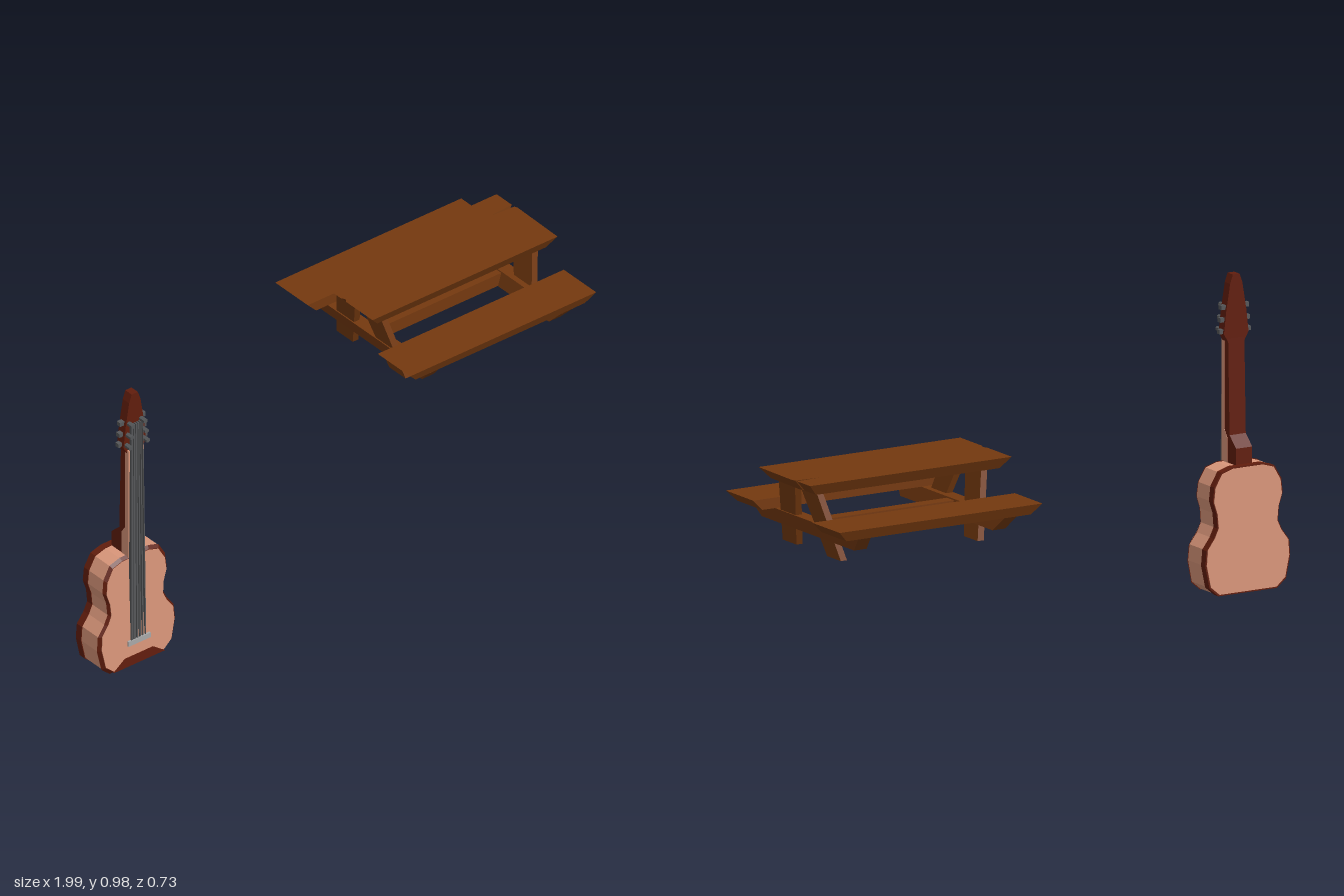
import * as THREE from 'three';

const mat = (name, color) => Object.assign(new THREE.MeshStandardMaterial({ color, flatShading: true }), { name });

export function createModel() {
  const root = new THREE.Group();
  const wood = mat('table wood', 0x74390f);
  const tan = mat('pale wood', 0xd9967a);
  const red = mat('dark red wood', 0x611d0d);
  const steel = mat('dark steel', 0x555759);
  const silver = mat('bridge grey', 0xa8a8a8);

  const add = (parent, name, geo, material) => {
    const m = new THREE.Mesh(geo, material);
    m.name = name;
    parent.add(m);
    return m;
  };
  const extrude = (pts, depth) => new THREE.ExtrudeGeometry(
    new THREE.Shape(pts.map(p => new THREE.Vector2(p[0], p[1]))), { depth, bevelEnabled: false });
  // Move every vertex of a geometry by a rule
  const warp = (geo, rule) => {
    const p = geo.attributes.position, v = new THREE.Vector3();
    for (let i = 0; i < p.count; i++) {
      v.fromBufferAttribute(p, i);
      rule(v);
      p.setXYZ(i, v.x, v.y, v.z);
    }
    geo.computeVertexNormals();
    return geo;
  };
  const box = (x0, x1, y0, y1, z0, z1) =>
    new THREE.BoxGeometry(x1 - x0, y1 - y0, z1 - z0).translate((x0 + x1) / 2, (y0 + y1) / 2, (z0 + z1) / 2);
  // Side profile given as [z, y], extruded along x around x = 0
  const sideProfile = (pts, width) =>
    extrude(pts.map(([z, y]) => [-z, y]), width).rotateY(Math.PI / 2).translate(-width / 2, 0, 0);

  // ---------- Picnic table ----------
  const table = new THREE.Group();
  table.name = 'picnicTable';
  table.position.x = 0.632;
  root.add(table);
  const L = 0.363;

  // Plank from an [x, z] outline whose underside is drawn in toward pivotZ
  const plank = (name, pts, y0, y1, pivotZ, sz) => {
    const g = extrude(pts.map(([x, z]) => [x, -z]), y1 - y0).rotateX(-Math.PI / 2).translate(0, y0, 0);
    add(table, name, warp(g, v => {
      if (v.y < y0 + 0.001) {
        v.x *= 0.91;
        v.z = pivotZ + (v.z - pivotZ) * sz;
      }
    }), wood);
  };
  // Table top with a crack on one end and a chip on the other
  plank('tableTop', [[-L, 0.108], [L - 0.004, 0.108], [L, -0.09], [L - 0.004, -0.101], [L - 0.09, -0.107],
    [L - 0.004, -0.113], [L - 0.004, -0.187], [-L, -0.187], [-L, -0.045], [-L + 0.008, -0.032], [-L, -0.02]],
  0.62, 0.655, -0.037, 0.88);
  plank('frontBench', [[-L, 0.29], [L, 0.29], [L, 0.133], [-L, 0.133]], 0.512, 0.545, 0.133, 0.91);
  plank('backBench', [[-L, -0.205], [L, -0.205], [L, -0.363], [-L, -0.363]], 0.512, 0.545, -0.205, 0.91);

  // End frames: splayed legs leaning inward, plus a cross beam
  for (const s of [-1, 1]) {
    const lean = v => { v.x += s * (0.245 + (v.y - 0.41) * 0.24); };
    add(table, 'frontLeg', warp(sideProfile(
      [[0.135, 0.41], [0.056, 0.41], [-0.016, 0.62], [0.078, 0.62]], 0.022), lean), wood);
    add(table, 'backLeg', warp(sideProfile(
      [[-0.12, 0.41], [-0.198, 0.41], [-0.138, 0.62], [-0.046, 0.62]], 0.022), lean), wood);
    add(table, 'crossBeam', warp(sideProfile(
      [[0.232, 0.465], [-0.297, 0.465], [-0.344, 0.512], [0.276, 0.512]], 0.045),
    v => { v.x += s * (0.248 + (v.y - 0.465) * 0.3); }), wood);
  }
  add(table, 'stretcher', box(-0.245, 0.245, 0.466, 0.508, -0.055, -0.015), wood);

  // ---------- Guitar ----------
  const guitar = new THREE.Group();
  guitar.name = 'guitar';
  guitar.position.x = -0.845;
  root.add(guitar);

  // Half outline of the body, mirrored to a closed loop
  const half = [[0.105, 0.003], [0.137, 0.03], [0.152, 0.1], [0.148, 0.15], [0.122, 0.185], [0.108, 0.215],
    [0.112, 0.26], [0.125, 0.3], [0.12, 0.345], [0.095, 0.388], [0.055, 0.4]];
  const outline = [...half, ...half.map(([x, y]) => [-x, y]).reverse()];
  // The front slopes: the body is deeper at the bottom
  const slope = v => { v.z += (0.2 - v.y) * 0.04 * (v.z - 0.242) / 0.11; };
  const layer = (name, z0, z1, s0, s1, material) => {
    const mid = (z0 + z1) / 2;
    add(guitar, name, warp(extrude(outline, z1 - z0).translate(0, 0, z0), v => {
      const s = v.z < mid ? s0 : s1;
      v.x *= s;
      v.y = 0.2 + (v.y - 0.2) * (1 + (s - 1) * 0.8);
      slope(v);
    }), material);
  };
  layer('backPlate', 0.24, 0.243, 0.97, 0.97, tan);
  layer('backRim', 0.242, 0.266, 1, 1, red);
  layer('bodySide', 0.266, 0.342, 0.985, 0.985, tan);
  layer('frontRim', 0.341, 0.35, 1, 0.94, red);
  layer('frontPlate', 0.349, 0.352, 0.93, 0.93, tan);
  add(guitar, 'tailGuard', warp(extrude(
    [[-0.1, 0.01], [0.1, 0.01], [0.055, 0.042], [-0.055, 0.042]], 0.003).translate(0, 0, 0.351), slope), red);

  // Neck with fretboard and heel
  add(guitar, 'fretboard', sideProfile(
    [[0.346, 0.395], [0.312, 0.395], [0.312, 0.475], [0.329, 0.5], [0.329, 0.785], [0.346, 0.785]], 0.06), tan);
  add(guitar, 'neck', sideProfile(
    [[0.313, 0.395], [0.263, 0.395], [0.263, 0.45], [0.3, 0.485], [0.308, 0.785], [0.33, 0.785],
      [0.33, 0.5], [0.313, 0.475]], 0.058), red);

  // Headstock
  const head = [[0.03, 0.775], [0.044, 0.8], [0.036, 0.87], [0.022, 0.955], [0.012, 0.983]];
  add(guitar, 'headstock', extrude([...head, ...head.map(([x, y]) => [-x, y]).reverse()], 0.031)
    .translate(0, 0, 0.308), red);

  // Tuning posts and knobs
  for (const s of [-1, 1]) {
    [0.807, 0.843, 0.882].forEach((y, i) => {
      const x = s * (0.034 - i * 0.005);
      add(guitar, 'tuningPost', new THREE.CylinderGeometry(0.008, 0.008, 0.026, 6)
        .rotateX(Math.PI / 2).translate(x, y, 0.349), steel);
      add(guitar, 'tuningKnob', new THREE.BoxGeometry(0.022, 0.014, 0.016)
        .translate(s * (0.045 - i * 0.003), y, 0.322), steel);
    });
  }

  // Strings, thicker on the low side, running from bridge to headstock
  for (let i = 0; i < 6; i++) {
    const w = 0.008 - i * 0.0009;
    const x = -0.026 + i * 0.0104;
    add(guitar, 'string', warp(box(x - w / 2, x + w / 2, 0.095, 0.88, 0.342, 0.353), v => {
      if (v.y < 0.2) v.z += 0.007;
      else v.x *= 0.8;
    }), steel);
  }
  add(guitar, 'bridge', box(-0.043, 0.043, 0.083, 0.1, 0.35, 0.363), silver);

  return root;
}
